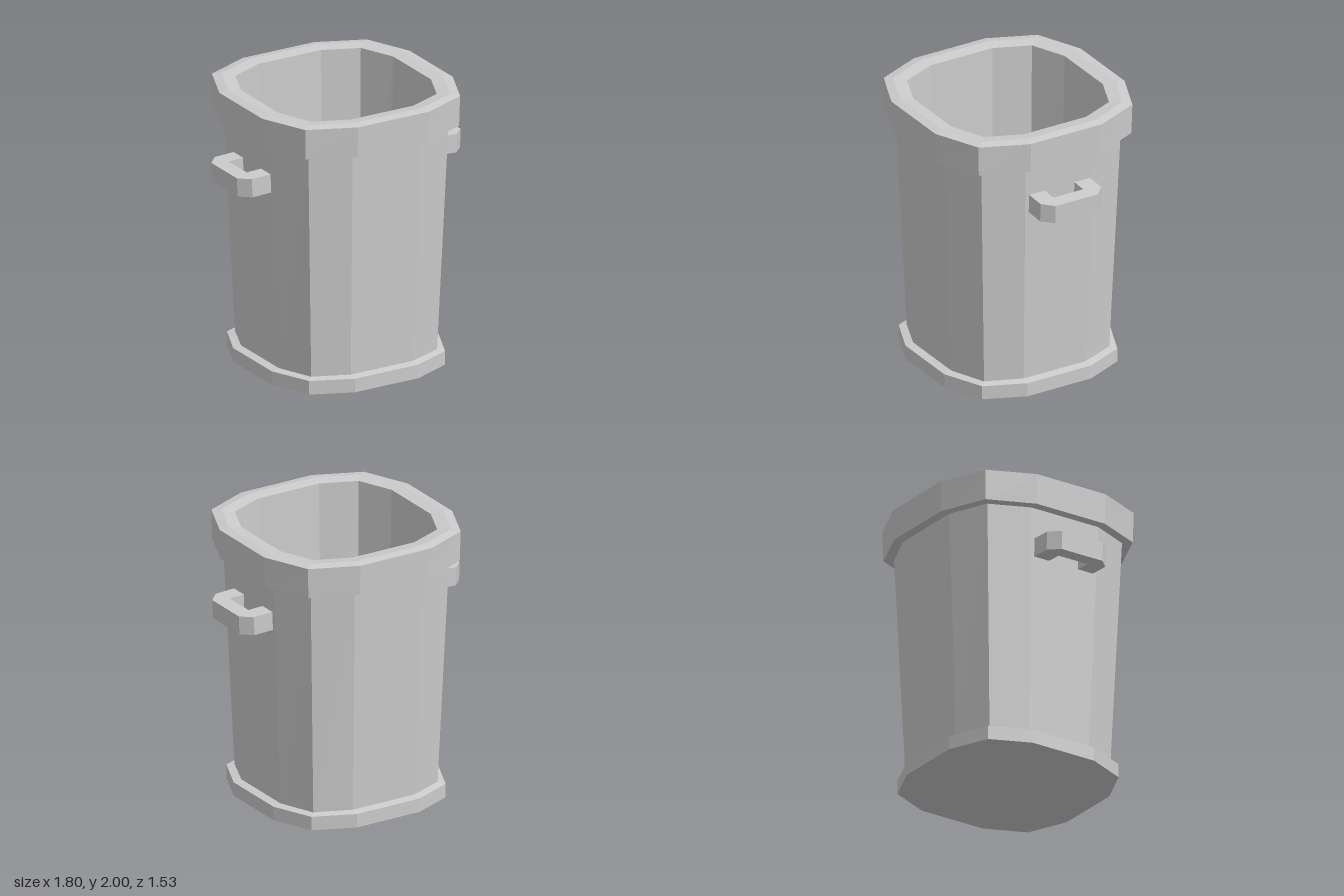
import * as THREE from 'three';

const material = new THREE.MeshStandardMaterial({ color: 0xcccccc, flatShading: true });

// Twelve-sided rounded-square ring: half width, corner reach, half length of the flat side, height
function ring([half, corner, flat, y]) {
  const points = [];
  let quarter = [[flat, half], [corner, corner], [half, flat]];
  for (let q = 0; q < 4; q++) {
    for (const [x, z] of quarter) points.push([x, y, z]);
    quarter = quarter.map(([x, z]) => [z, -x]);
  }
  return points;
}

// Skin between successive rings; a ring of zero width closes an end
function loft(name, profile) {
  const rings = profile.map(ring);
  const positions = [];
  for (let r = 0; r < rings.length - 1; r++) {
    const a = rings[r], b = rings[r + 1];
    for (let i = 0; i < 12; i++) {
      const j = (i + 1) % 12;
      if (profile[r][0] > 0) positions.push(...a[i], ...a[j], ...b[j]);
      if (profile[r + 1][0] > 0) positions.push(...a[i], ...b[j], ...b[i]);
    }
  }
  const geometry = new THREE.BufferGeometry();
  geometry.setAttribute('position', new THREE.Float32BufferAttribute(positions, 3));
  geometry.computeVertexNormals();
  const mesh = new THREE.Mesh(geometry, material);
  mesh.name = name;
  return mesh;
}

// Chamfered U-shaped grip, its open ends sunk into the wall
function handle(name) {
  const outline = [
    [-0.02, -0.245], [0.15, -0.245], [0.225, -0.17], [0.225, 0.17], [0.15, 0.245], [-0.02, 0.245],
    [-0.02, 0.12], [0.115, 0.12], [0.115, -0.12], [-0.02, -0.12],
  ];
  const shape = new THREE.Shape(outline.map(([x, z]) => new THREE.Vector2(x, z)));
  const geometry = new THREE.ExtrudeGeometry(shape, { depth: 0.135, bevelEnabled: false });
  geometry.translate(0, 0, -0.0675).rotateX(Math.PI / 2);
  const mesh = new THREE.Mesh(geometry, material);
  mesh.name = name;
  // Square to the sloping wall
  mesh.rotation.z = -0.042;
  mesh.position.set(0.67, 1.482, 0);
  return mesh;
}

export function createModel() {
  const model = new THREE.Group();
  model.name = 'bin';

  // Foot plate
  model.add(loft('base', [
    [0, 0, 0, 0],
    [0.67, 0.545, 0.255, 0],
    [0.67, 0.545, 0.255, 0.1],
    [0.61, 0.505, 0.25, 0.11],
  ]));

  // Tapered outer wall
  model.add(loft('outerWall', [
    [0.61, 0.505, 0.25, 0.11],
    [0.683, 0.562, 0.28, 1.77],
  ]));

  // Thick collar around the mouth
  model.add(loft('rim', [
    [0.683, 0.562, 0.28, 1.77],
    [0.754, 0.615, 0.283, 1.77],
    [0.763, 0.62, 0.286, 1.99],
    [0.7, 0.57, 0.27, 2],
    [0.61, 0.503, 0.25, 1.99],
  ]));

  // Hollow inside and its floor
  model.add(loft('innerWall', [
    [0.61, 0.503, 0.25, 1.99],
    [0.57, 0.475, 0.235, 0.11],
    [0, 0, 0, 0.11],
  ]));

  // Pair of side handles
  model.add(handle('leftHandle'));
  const right = new THREE.Group();
  right.name = 'rightHandle';
  right.rotation.y = Math.PI;
  right.add(handle('rightGrip'));
  model.add(right);

  return model;
}
